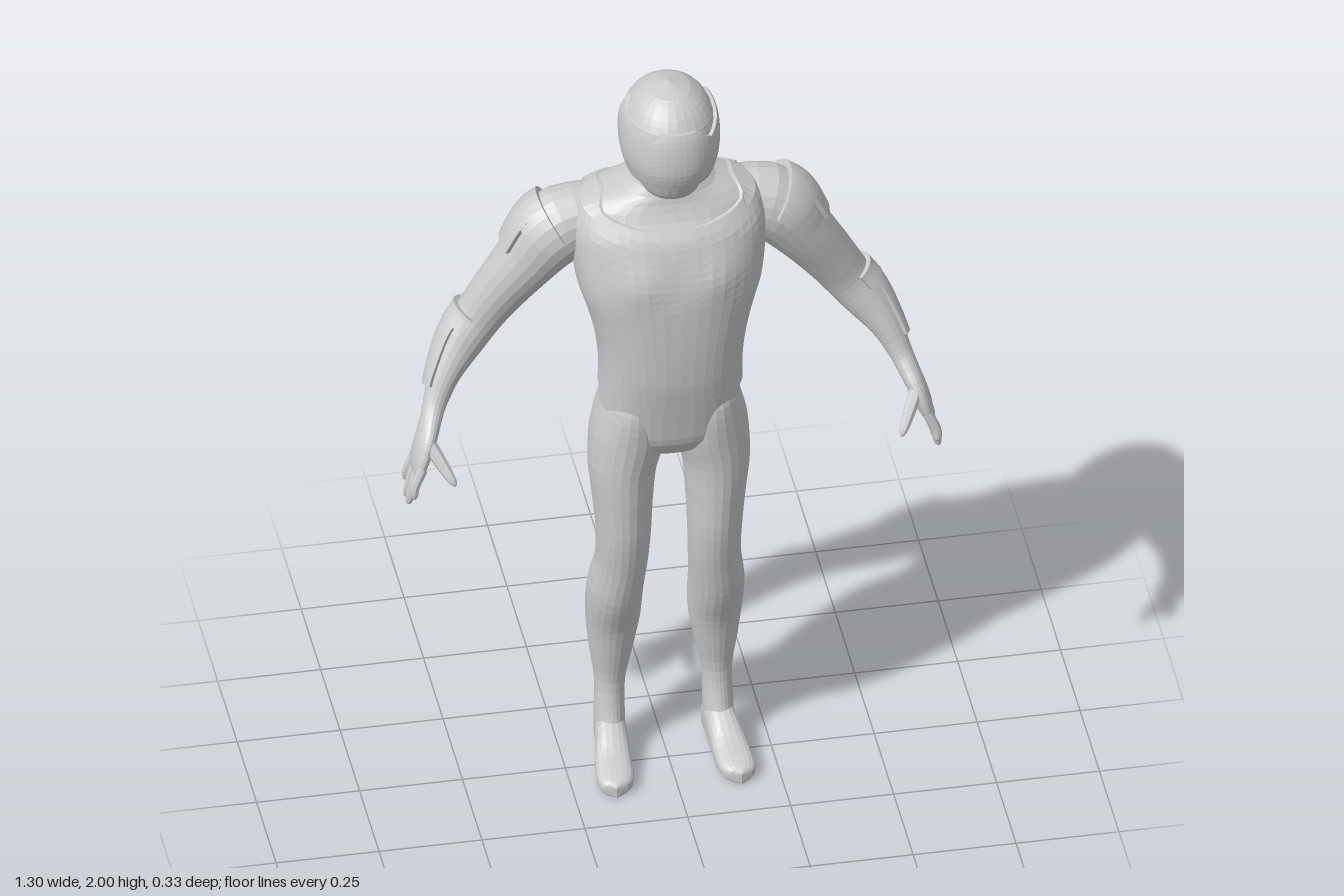
import * as THREE from 'three';

const material = new THREE.MeshStandardMaterial({ color: 0xcccccc, flatShading: true, side: THREE.DoubleSide });
const rad = THREE.MathUtils.degToRad, lerp = THREE.MathUtils.lerp;

// Grid surface from fn(u, v, offset). With an offset it becomes a raised plate whose border sinks in.
function patch(name, fn, nu, nv, off = 0, closed = true) {
  let us = Array.from({ length: nu + 1 }, (_, i) => i / nu);
  let vs = Array.from({ length: nv + 1 }, (_, i) => i / nv);
  if (off) vs = [0, ...vs, 1];
  if (off && !closed) us = [0, ...us, 1];
  const pos = [], idx = [], w = us.length;
  vs.forEach((v, j) => us.forEach((u, i) => {
    const edge = j === 0 || j === vs.length - 1 || (!closed && (i === 0 || i === w - 1));
    pos.push(...fn(u, v, off ? (edge ? -0.003 : off) : 0));
    if (j < vs.length - 1 && i < w - 1) {
      const a = j * w + i;
      idx.push(a, a + 1, a + w + 1, a, a + w + 1, a + w);
    }
  }));
  const g = new THREE.BufferGeometry();
  g.setAttribute('position', new THREE.Float32BufferAttribute(pos, 3));
  g.setIndex(idx);
  g.computeVertexNormals();
  const mesh = new THREE.Mesh(g, material);
  mesh.name = name;
  return mesh;
}

// Smooth interpolation between rows of numbers; t counts rows
function sample(rows, t) {
  const last = rows.length - 1;
  const i = Math.min(Math.max(Math.floor(t), 0), last - 1), f = t - i;
  const r = k => rows[Math.min(Math.max(k, 0), last)];
  return rows[0].map((_, c) => {
    const a = r(i - 1)[c], b = r(i)[c], d = r(i + 1)[c], e = r(i + 2)[c];
    return b + 0.5 * f * (d - a + f * (2 * a - 5 * b + 4 * d - e + f * (3 * (b - d) + e - a)));
  });
}

const pw = (c, n) => Math.sign(c) * Math.abs(c) ** (2 / n);

// Upright form from rows [y, half width, back z, front z], highest row first
function upright(rows, n, bump = () => 0) {
  return (y, th, off = 0) => {
    let i = 0;
    while (i < rows.length - 2 && y < rows[i + 1][0]) i++;
    const [, rx, zb, zf] = sample(rows, i + (rows[i][0] - y) / (rows[i][0] - rows[i + 1][0]));
    const x = (Math.max(rx, 0) + off) * pw(Math.cos(th), n);
    const z = (zf + zb) / 2 + (Math.max((zf - zb) / 2, 0) + off) * pw(Math.sin(th), n);
    return [x, y, z + bump(x, y, Math.sin(th))];
  };
}

// Limb from rows [x, y, z, radius in the front plane, radius in depth]; angle 0 is the outer side
function limb(rows) {
  return (t, th, off = 0) => {
    const [x, y, z, ra, rb] = sample(rows, t);
    const p = sample(rows, Math.max(t - 0.05, 0)), q = sample(rows, Math.min(t + 0.05, rows.length - 1));
    const T = new THREE.Vector3(q[0] - p[0], q[1] - p[1], q[2] - p[2]).normalize();
    const U = new THREE.Vector3(0, 0, 1).cross(T).normalize();
    const V = T.clone().cross(U);
    return new THREE.Vector3(x, y, z)
      .addScaledVector(U, (Math.max(ra, 0) + off) * Math.cos(th))
      .addScaledVector(V, (Math.max(rb, 0) + off) * Math.sin(th)).toArray();
  };
}
const fullLimb = (name, rows, nu, nv) => {
  const f = limb(rows);
  return patch(name, (u, v) => f(v * (rows.length - 1), u * Math.PI * 2), nu, nv);
};
// Raised plate over part of a form: a0..a1 along it, d0..d1 degrees around it
const plate = (name, f, a0, a1, d0, d1, off) =>
  patch(name, (u, v, o) => f(lerp(a0, a1, v), rad(lerp(d0, d1, u)), o), 14, 8, off, false);

const torso = upright([
  [1.80, .075, -.095, .05], [1.74, .08, -.108, .058], [1.705, .105, -.115, .065], [1.685, .16, -.125, .07],
  [1.66, .21, -.14, .08], [1.60, .228, -.16, .118], [1.52, .226, -.16, .142], [1.44, .214, -.142, .156],
  [1.36, .19, -.126, .158], [1.28, .172, -.113, .156], [1.20, .164, -.1, .15], [1.13, .166, -.098, .138],
  [1.06, .170, -.112, .125], [1.0, .16, -.107, .112], [.95, .09, -.07, .08], [.92, .01, -.01, .02],
], 2.35, (x, y, s) => s > 0
  ? .012 * s * Math.exp(-(((Math.abs(x) - .1) / .06) ** 2) - ((y - 1.5) / .055) ** 2)
  : -.007 * s * Math.exp(-((x / .03) ** 2) - ((y - 1.35) / .2) ** 2));

const skull = upright([
  [2.0, 0, .005, .005], [1.985, .05, -.055, .065], [1.96, .083, -.094, .102], [1.92, .106, -.121, .13],
  [1.87, .113, -.13, .142], [1.82, .110, -.126, .144], [1.78, .1, -.113, .134], [1.75, .09, -.1, .12],
], 2.1);

const jaw = upright([
  [1.82, .095, -.1, .13], [1.77, .087, -.1, .124], [1.73, .076, -.09, .108], [1.705, .06, -.07, .085], [1.69, .01, -.01, .03],
], 2.1);

const armRows = [
  [.15, 1.6, -.06, .07, .075], [.26, 1.565, -.055, .096, .088], [.33, 1.48, -.06, .078, .077],
  [.40, 1.38, -.074, .067, .063], [.445, 1.31, -.08, .061, .056], [.49, 1.25, -.068, .057, .052],
  [.535, 1.18, -.04, .04, .042], [.565, 1.115, -.01, .029, .031], [.58, 1.08, .012, .026, .033],
  [.597, 1.04, .035, .024, .045], [.611, 1.0, .043, .021, .05], [.62, .97, .045, .014, .045], [.622, .96, .045, 0, .03],
];

const legRows = [
  [.09, 1.14, .012, .06, .09], [.094, 1.09, .01, .074, .11], [.098, 1.0, .003, .092, .112], [.113, .9, .005, .083, .101],
  [.113, .8, .005, .073, .095], [.111, .7, .007, .066, .084], [.113, .6, -.008, .063, .077], [.123, .5, -.036, .067, .08],
  [.124, .4, -.062, .066, .068], [.127, .3, -.068, .053, .052], [.13, .2, -.07, .037, .04], [.132, .1, -.062, .037, .05],
  [.135, .04, -.045, .034, .058],
];

// Rows run heel to toe: [z, x, half width, height]
const footRows = [
  [-.115, .13, 0, .05], [-.11, .13, .022, .08], [-.09, .13, .035, .1], [-.05, .132, .038, .12], [0, .137, .041, .1],
  [.05, .143, .045, .068], [.1, .147, .045, .052], [.13, .15, .034, .042], [.145, .152, 0, .03],
];

function buildSide() {
  const side = new THREE.Group();

  // Arm, shoulder plates and forearm guard
  const arm = limb(armRows);
  side.add(fullLimb('arm', armRows, 20, 44));
  side.add(plate('shoulderPlate', arm, .95, 1.35, -120, 85, .013));
  side.add(plate('shoulderPlateLower', arm, 1.2, 1.95, -115, 30, .013));
  side.add(plate('elbowCuff', arm, 4.0, 4.7, -105, 60, .012));
  side.add(plate('forearmGuard', arm, 4.5, 6.5, -65, 35, .01));

  // Fingers: base depth, tip x, tip height, tip depth
  [[.088, .636, .915, .1], [.06, .642, .882, .068], [.032, .643, .88, .035], [.008, .638, .905, .002]].forEach(([z0, x, y, z]) => {
    const ym = lerp(.99, y, .5);
    side.add(fullLimb('finger', [
      [.612, .995, z0, .013, .013], [.632, ym, lerp(z0, z, .6), .012, .012],
      [x, y + .01, z, .009, .009], [x, y, z, 0, 0]], 8, 9));
  });
  side.add(fullLimb('thumb', [
    [.592, 1.045, .06, .018, .018], [.57, 1.01, .09, .016, .016],
    [.547, .975, .125, .01, .01], [.541, .965, .133, 0, 0]], 8, 9));

  // Leg and foot
  side.add(fullLimb('leg', legRows, 24, 40));
  side.add(patch('foot', (u, v) => {
    const [z, x, w, h] = sample(footRows, v * (footRows.length - 1)), a = u * Math.PI * 2;
    return [x + Math.max(w, 0) * pw(Math.cos(a), 2.3), h / 2 * (1 + pw(Math.sin(a), 2.8)), z];
  }, 20, 20));

  // Shoulder blade plate on the back of the vest
  side.add(plate('shoulderBladePlate', torso, 1.655, 1.56, -62, -38, .015));
  return side;
}

export function createModel() {
  const model = new THREE.Group();
  const turn = Math.PI * 2;

  // Body with neck and hips, and the vest over it
  model.add(patch('body', (u, v) => torso(lerp(1.8, .92, v), u * turn), 36, 44));
  const neckline = a => 1.687 - (Math.sin(a) > 0 ? .06 : .035) * Math.sin(a) ** 2;
  model.add(patch('vest', (u, v, o) => torso(lerp(neckline(u * turn), 1.14, v), u * turn, o), 44, 24, .008));
  model.add(plate('collarTab', torso, 1.64, 1.6, 82, 98, .012));

  // Head with helmet and faceplate
  model.add(patch('jaw', (u, v) => jaw(lerp(1.82, 1.69, v), u * turn), 24, 10));
  model.add(patch('helmet', (u, v) => skull(2 - .212 * (1 - Math.cos(v * Math.PI / 2)), u * turn), 28, 16));
  model.add(patch('helmetRim', (u, v, o) => skull(lerp(1.81, 1.787, v), u * turn, o), 28, 2, .003));
  const brow = a => {
    const s = Math.sin(a);
    return s > .75 ? 1.895 + .032 * Math.min(1, (s - .75) / .15) : lerp(1.95, 1.895, (s + .25));
  };
  model.add(patch('faceplate', (u, v, o) => {
    const a = rad(lerp(-14, 194, u));
    return skull(lerp(brow(a), 1.772, v), a, o);
  }, 28, 10, .008, false));

  // Left side and its mirror image
  const left = buildSide(), right = buildSide();
  left.name = 'leftLimbs';
  right.name = 'rightLimbs';
  right.scale.x = -1;
  model.add(left, right);
  return model;
}
